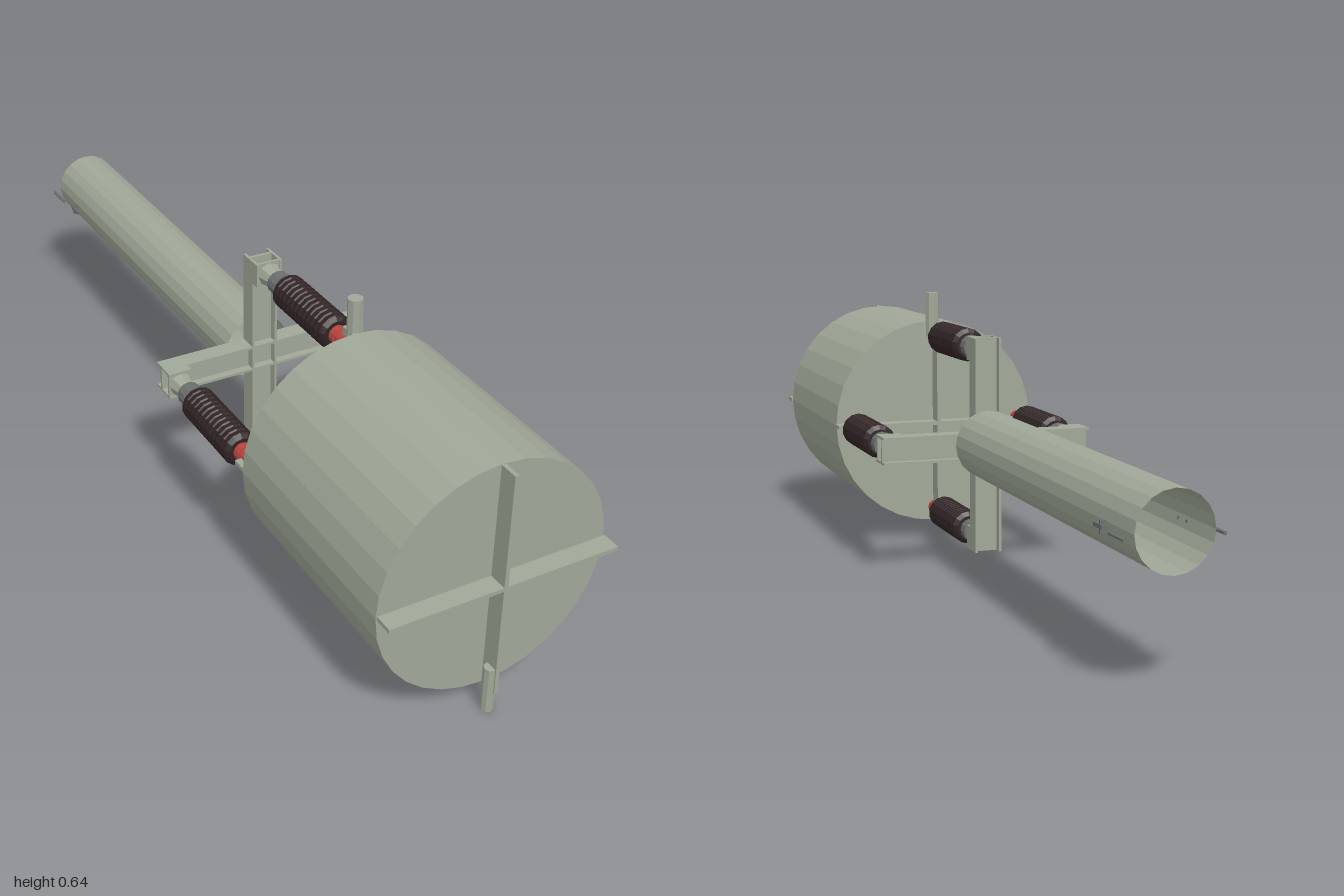
import * as THREE from 'three';

const mat = (name, color) => new THREE.MeshStandardMaterial({ name, color, flatShading: true, side: THREE.DoubleSide });

export function createModel() {
  const root = new THREE.Group();
  root.name = 'insulatedDrumOnTube';
  const paint = mat('greyGreenPaint', 0xa0a898);
  const dark = mat('darkInsulator', 0x302324);
  const red = mat('redFitting', 0xb8463f);
  const grey = mat('greyMetal', 0x6c7170);
  const CY = 0.304;

  const add = (parent, name, geo, material, x = 0, y = 0, z = 0) => {
    const m = new THREE.Mesh(geo, material);
    m.name = name;
    m.position.set(x, y, z);
    parent.add(m);
    return m;
  };
  const box = (parent, name, w, h, d, x, y, z, material = paint) =>
    add(parent, name, new THREE.BoxGeometry(w, h, d), material, x, y, z);
  // Round part along z from z0 (radius r0) to z1 (radius r1)
  const rod = (parent, name, r0, r1, z0, z1, sides, material, open = false) => {
    const g = new THREE.CylinderGeometry(r1, r0, z1 - z0, sides, 1, open).rotateX(Math.PI / 2);
    return add(parent, name, g, material, 0, 0, (z0 + z1) / 2);
  };

  // Drum with crossed ribs on both ends
  rod(root, 'drum', 0.259, 0.259, 0.437, 0.958, 32, paint).position.y = CY;
  for (const [side, z] of [['front', 0.979], ['back', 0.418]]) {
    box(root, side + 'HorizontalRib', 0.518, 0.009, 0.042, 0.003, CY, z);
    box(root, side + 'VerticalRib', 0.009, 0.516, 0.042, 0, CY, z);
  }

  // Short drain and vent pipes on the drum ends
  add(root, 'ventPipe', new THREE.CylinderGeometry(0.017, 0.017, 0.11, 8), paint, 0.01, 0.581, 0.42);
  add(root, 'drainPipe', new THREE.CylinderGeometry(0.0135, 0.0135, 0.105, 8), paint, -0.007, 0.0525, 0.985);

  // Cross frame: two I-beams, flanges on the sides and a web in the middle
  const beam = (name, angle) => {
    const g = new THREE.Group();
    g.name = name;
    for (const s of [-1, 1]) {
      box(g, 'flange', 0.505, 0.006, 0.043, 0, s * 0.029, 0.029);
      // End brackets reaching towards the insulators
      for (const k of [-1, 1]) box(g, 'bracketCheek', 0.055, 0.006, 0.022, s * 0.225, k * 0.029, 0.061);
      box(g, 'bracketPlate', 0.055, 0.056, 0.006, s * 0.225, 0, 0.067);
    }
    box(g, 'web', 0.505, 0.054, 0.007, 0, 0, 0.029);
    g.position.y = CY;
    g.rotation.z = angle;
    root.add(g);
  };
  beam('horizontalBeam', 0);
  beam('verticalBeam', Math.PI / 2);

  // Four insulators joining the frame to the drum
  const profile = [[0, 0.152], [0.03, 0.152]];
  const sheds = 12;
  for (let i = 0; i < sheds; i++) {
    const z = 0.16 + i * 0.0172;
    profile.push([0.04, z], [0.04, z + 0.01], [0.0375, z + 0.0136]);
  }
  profile.push([0.03, 0.368], [0, 0.368]);
  const bodyGeo = new THREE.LatheGeometry(profile.map(p => new THREE.Vector2(...p)), 14).rotateX(Math.PI / 2);
  for (const [x, y] of [[-0.224, 0], [0.222, 0], [0, 0.223], [0, -0.224]]) {
    const g = new THREE.Group();
    g.name = 'insulator';
    rod(g, 'taperedFoot', 0.028, 0.018, 0.068, 0.112, 8, paint);
    rod(g, 'lowerCap', 0.027, 0.027, 0.11, 0.138, 12, grey);
    rod(g, 'capNeck', 0.022, 0.022, 0.138, 0.154, 12, grey);
    // Lathe height becomes +z after the quarter turn
    add(g, 'ribbedBody', bodyGeo, dark);
    rod(g, 'redCap', 0.021, 0.021, 0.366, 0.385, 12, red);
    rod(g, 'redNeck', 0.018, 0.018, 0.385, 0.437, 12, red);
    g.position.set(x, CY + y, 0);
    root.add(g);
  }

  // Long open tube
  rod(root, 'tube', 0.079, 0.079, -1, 0.01, 20, paint, true).position.y = 0.309;

  // Small pins and clips at the tube's far end
  for (const s of [-1, 1]) {
    const pin = rod(root, 'endPin', 0.004, 0.004, -1, -0.932, 6, grey);
    pin.position.x = s * 0.097;
    pin.position.y = 0.3;
    for (const z of [-0.885, -0.85]) box(root, 'clipArm', 0.016, 0.006, 0.005, s * 0.084, 0.3, z, grey);
    box(root, 'clipBar', 0.004, 0.008, 0.04, s * 0.091, 0.3, -0.868, grey);
    box(root, 'clipPlate', 0.012, 0.026, 0.005, s * 0.086, 0.299, -0.876, grey);
  }
  return root;
}
